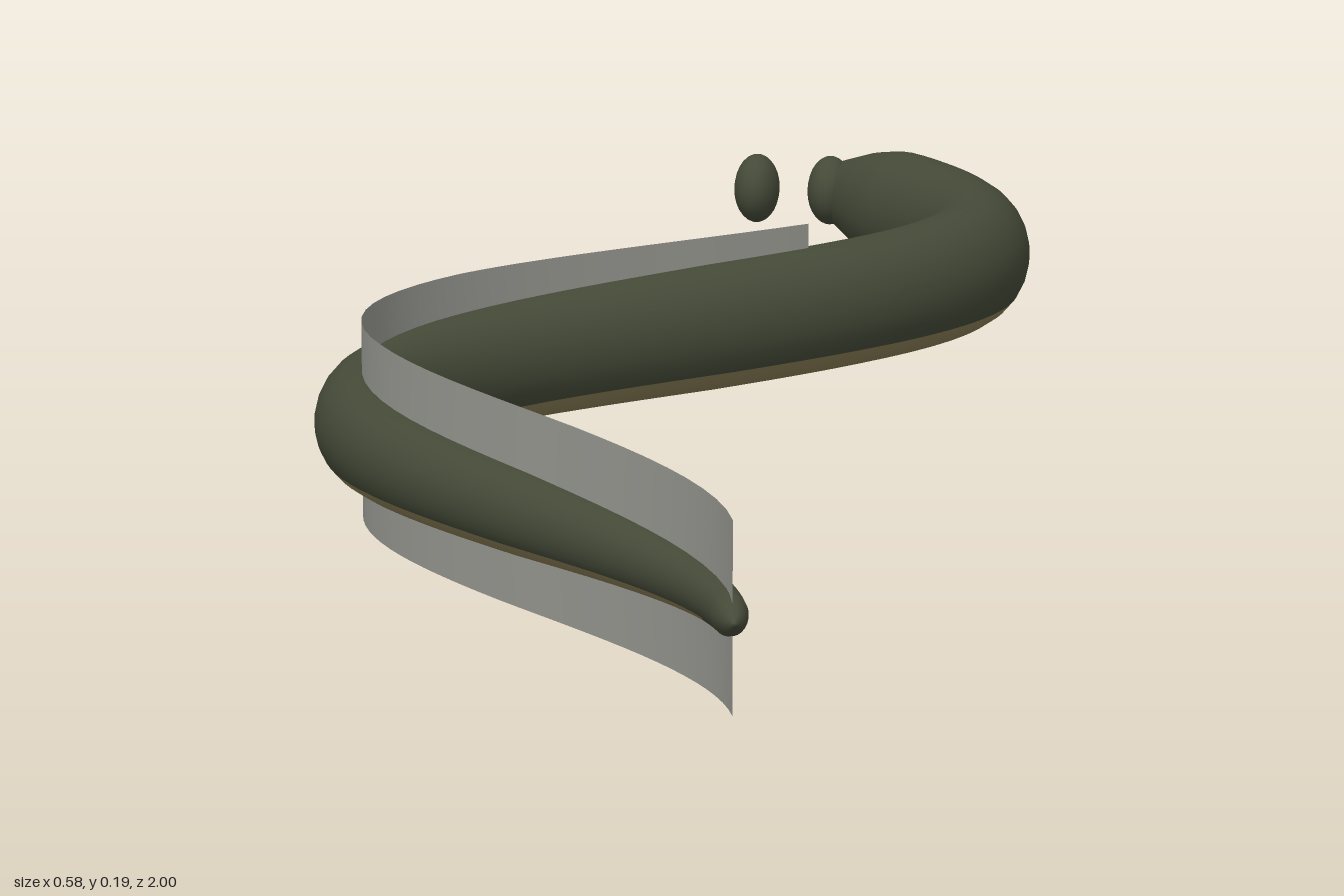
import * as THREE from 'three';

const skin = new THREE.MeshStandardMaterial({ color: 0x454a38 });
skin.name = 'olive skin';
const bellySkin = new THREE.MeshStandardMaterial({ color: 0x8a7d55 });
bellySkin.name = 'tan belly';
const finSkin = new THREE.MeshStandardMaterial({ color: 0x989992, side: THREE.DoubleSide });
finSkin.name = 'grey fin';

const MID = 0.089; // height of the spine
const WAVE = Math.PI / 0.83;
const spineX = (z) => -0.238 * Math.cos(WAVE * (z - 0.235));
const spineSlope = (z) => 0.238 * WAVE * Math.sin(WAVE * (z - 0.235));

// Half height of the body along z, head to tail
const PROFILE = [
  [-1, 0.004], [-0.99, 0.018], [-0.95, 0.038], [-0.9, 0.057], [-0.86, 0.065],
  [-0.6, 0.066], [-0.2, 0.064], [0.23, 0.054], [0.64, 0.038], [0.97, 0.018],
  [0.99, 0.012], [1, 0.002],
];

function sample(table, z) {
  let k = 0;
  while (k < table.length - 2 && z > table[k + 1][0]) k++;
  const [z0, v0] = table[k];
  const [z1, v1] = table[k + 1];
  return v0 + (v1 - v0) * THREE.MathUtils.clamp((z - z0) / (z1 - z0), 0, 1);
}

// Oval rings swept along the wave, with the lowest strips coloured as belly
function bodyGeometry() {
  const rows = 120, sides = 24;
  const pos = [], back = [], belly = [], zs = [];
  for (let i = 0; i <= rows; i++) {
    const t = i / rows;
    // rings crowd towards both ends
    const z = THREE.MathUtils.lerp(2 * t - 1, -Math.cos(Math.PI * t), 0.6);
    zs.push(z);
    const slope = spineSlope(z), len = Math.hypot(1, slope);
    const ry = sample(PROFILE, z), rx = ry * 0.87;
    for (let j = 0; j < sides; j++) {
      const a = THREE.MathUtils.degToRad(7.5 + 15 * j);
      const side = Math.cos(a) * rx;
      pos.push(spineX(z) + side / len, MID + Math.sin(a) * ry, z - side * slope / len);
    }
  }
  for (let i = 0; i < rows; i++) {
    const reach = Math.min(3, Math.floor((zs[i] + 0.92) / 0.02), Math.floor((0.98 - zs[i]) / 0.02));
    for (let j = 0; j < sides; j++) {
      const a = i * sides + j, b = i * sides + (j + 1) % sides;
      const list = Math.abs(j - 17) <= reach ? belly : back;
      list.push(a, b, a + sides, b, b + sides, a + sides);
    }
  }
  // end caps
  const last = rows * sides;
  for (let j = 1; j < sides - 1; j++) {
    back.push(0, j + 1, j, last, last + j, last + j + 1);
  }
  const g = new THREE.BufferGeometry();
  g.setAttribute('position', new THREE.Float32BufferAttribute(pos, 3));
  g.setIndex([...back, ...belly]);
  g.addGroup(0, back.length, 0);
  g.addGroup(back.length, belly.length, 1);
  g.computeVertexNormals();
  return g;
}

// Upright ribbon from the spine out to an edge height
function finGeometry(zStart, zEnd, edge) {
  const steps = 40;
  const g = new THREE.PlaneGeometry(1, 1, steps, 1);
  const p = g.attributes.position;
  for (let i = 0; i < p.count; i++) {
    const z = THREE.MathUtils.lerp(zStart, zEnd, p.getX(i) + 0.5);
    p.setXYZ(i, spineX(z), p.getY(i) > 0 ? sample(edge, z) : MID, z);
  }
  g.computeVertexNormals();
  return g;
}

export function createModel() {
  const model = new THREE.Group();
  model.name = 'eel';
  const add = (name, geometry, material) => {
    const mesh = new THREE.Mesh(geometry, material);
    mesh.name = name;
    model.add(mesh);
    return mesh;
  };

  add('body', bodyGeometry(), [skin, bellySkin]);
  add('dorsalFin', finGeometry(-0.3, 0.985, [[-0.3, 0.178], [0.05, 0.186], [0.4, 0.188], [0.7, 0.183], [0.985, 0.174]]), finSkin);
  add('analFin', finGeometry(0.09, 0.985, [[0.09, 0.003], [0.3, 0], [0.6, 0.001], [0.985, 0.007]]), finSkin);

  // Small oval eyes at either side of the snout
  for (const [name, x] of [['rightEye', -0.045], ['leftEye', 0.037]]) {
    const eye = add(name, new THREE.SphereGeometry(1, 20, 14), skin);
    eye.scale.set(0.025, 0.038, 0.037);
    eye.position.set(x, 0.095, -0.935);
  }
  return model;
}
